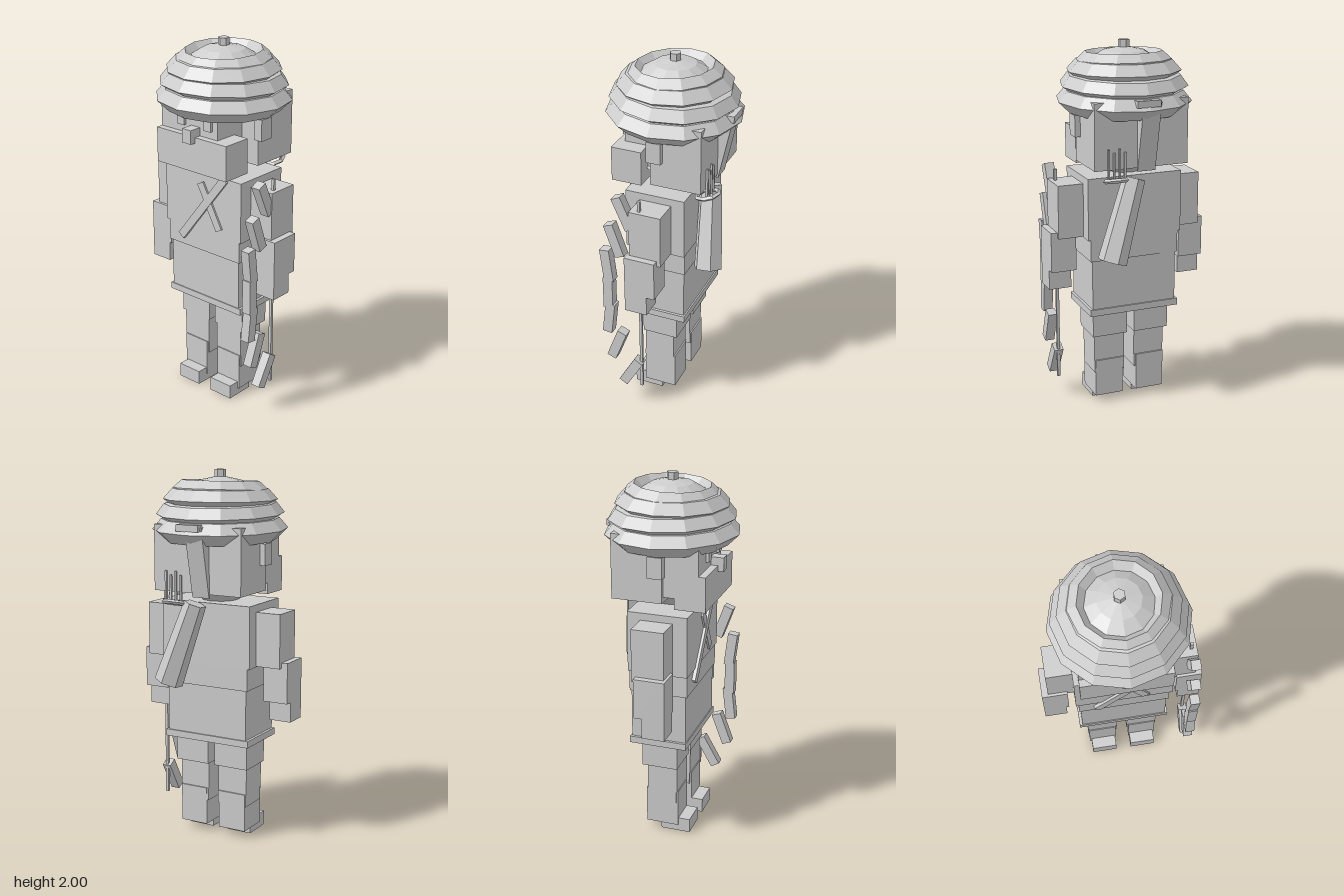
import * as THREE from 'three';

export function createModel() {
  const model = new THREE.Group();
  const stone = new THREE.MeshStandardMaterial({ color: 0xcccccc, flatShading: true, side: THREE.DoubleSide });
  stone.name = 'light grey';

  const add = (name, geo, parent = model) => {
    const mesh = new THREE.Mesh(geo, stone);
    mesh.name = name;
    parent.add(mesh);
    return mesh;
  };
  // box given by its limits on each axis
  const box = (name, x0, x1, y0, y1, z0, z1, parent) => {
    const mesh = add(name, new THREE.BoxGeometry(x1 - x0, y1 - y0, z1 - z0), parent);
    mesh.position.set((x0 + x1) / 2, (y0 + y1) / 2, (z0 + z1) / 2);
    return mesh;
  };
  // prism running between two points
  const UP = new THREE.Vector3(0, 1, 0);
  const prism = (name, a, b, rTop, rBottom, sides) => {
    const top = new THREE.Vector3(...a), bottom = new THREE.Vector3(...b);
    const dir = top.clone().sub(bottom);
    const mesh = add(name, new THREE.CylinderGeometry(rTop, rBottom, dir.length(), sides));
    mesh.position.copy(top).add(bottom).multiplyScalar(0.5);
    mesh.quaternion.setFromUnitVectors(UP, dir.normalize());
    return mesh;
  };

  // legs and arms, mirrored
  for (const s of [1, -1]) {
    const side = s > 0 ? 'left' : 'right';
    const limb = (part, x0, x1, ...rest) =>
      box(side + part, Math.min(s * x0, s * x1), Math.max(s * x0, s * x1), ...rest);
    limb('Thigh', 0.02, 0.22, 0.4, 0.56, -0.1, 0.1);
    limb('Knee', 0.03, 0.205, 0.25, 0.4, -0.075, 0.095);
    limb('KneeBand', 0.03, 0.205, 0.18, 0.25, -0.08, 0.09);
    limb('Shin', 0.04, 0.2, 0.04, 0.25, -0.083, 0.1);
    limb('Foot', 0.045, 0.19, 0, 0.08, 0, 0.165);
    limb('UpperArm', 0.25, 0.405, 0.98, 1.27, -0.087, 0.09);
    limb('Forearm', 0.3, 0.44, 0.79, 1.01, -0.065, 0.105);
    limb('Hand', 0.315, 0.44, 0.68, 0.79, -0.02, 0.105);
    limb('Ear', 0.24, 0.29, 1.51, 1.625, -0.04, 0.04);
    limb('Eye', 0.068, 0.115, 1.57, 1.63, 0.21, 0.235);
  }

  // tunic
  box('chest', -0.265, 0.265, 0.975, 1.31, -0.16, 0.17);
  box('waist', -0.25, 0.25, 0.855, 0.975, -0.157, 0.165);
  box('skirt', -0.24, 0.24, 0.56, 0.86, -0.15, 0.155);
  box('hem', -0.255, 0.255, 0.545, 0.582, -0.158, 0.16);

  // crossed chest straps
  const strap = (name, x0, y0, x1, y1, z) => {
    const mesh = add(name, new THREE.BoxGeometry(0.045, Math.hypot(x1 - x0, y1 - y0), 0.02));
    mesh.position.set((x0 + x1) / 2, (y0 + y1) / 2, z);
    mesh.rotation.z = Math.atan2(x0 - x1, y1 - y0);
  };
  strap('longStrap', -0.15, 0.91, 0.16, 1.31, 0.174);
  strap('shortStrap', 0.12, 1.01, -0.01, 1.25, 0.17);

  // head, with a scarf across the mouth
  const neck = add('neck', new THREE.CylinderGeometry(0.2, 0.1, 0.1, 10));
  neck.position.y = 1.36;
  box('backOfHead', -0.26, 0.26, 1.37, 1.72, -0.247, 0.03);
  box('face', -0.24, 0.15, 1.4, 1.72, -0.05, 0.22);
  box('scarf', -0.24, 0.24, 1.34, 1.53, 0.09, 0.258);
  box('nose', -0.03, 0.03, 1.5, 1.575, 0.22, 0.29);

  // hat of slightly tilted rings around a low dome: [radius, height] profiles
  const hat = new THREE.Group();
  hat.name = 'hat';
  model.add(hat);
  const tiers = [
    [0.02, 1.69, [[0.2, 1.63], [0.3, 1.63], [0.362, 1.69], [0.315, 1.745], [0.22, 1.76]]],
    [0.03, 1.77, [[0.24, 1.73], [0.285, 1.735], [0.342, 1.77], [0.3, 1.825], [0.22, 1.84]]],
    [-0.01, 1.85, [[0.2, 1.81], [0.265, 1.815], [0.305, 1.845], [0.255, 1.9], [0.2, 1.91]]],
    [-0.04, 1.91, [[0.19, 1.88], [0.25, 1.885], [0.252, 1.9], [0.205, 1.942], [0.165, 1.9]]],
    [0, 1.93, [[0.18, 1.9], [0.165, 1.91], [0.11, 1.945], [0, 1.968]]],
  ];
  tiers.forEach(([tilt, y, profile], i) => {
    const pts = profile.map(([r, h]) => new THREE.Vector2(r, h - y));
    const tier = add(i < 4 ? 'hatRing' : 'hatDome', new THREE.LatheGeometry(pts, 12), hat);
    tier.position.y = y;
    tier.rotation.x = -tilt;
  });
  add('hatLining', new THREE.CircleGeometry(0.3, 12).rotateX(Math.PI / 2), hat).position.y = 1.645;
  add('hatKnob', new THREE.CylinderGeometry(0.03, 0.03, 0.06, 6), hat).position.y = 1.97;

  // gathered hair below the back of the hat
  box('hairTie', -0.065, 0.065, 1.7, 1.735, -0.345, -0.25);
  const tail = new THREE.Shape();
  tail.moveTo(0.24, 1.35);
  tail.lineTo(0.25, 1.35);
  tail.lineTo(0.33, 1.72);
  tail.lineTo(0.24, 1.74);
  const tailGeo = new THREE.ExtrudeGeometry(tail, { depth: 0.1, bevelEnabled: false });
  tailGeo.rotateY(Math.PI / 2);
  add('hairTail', tailGeo).position.x = -0.075;

  // quiver on the back, with its ring and arrow shafts
  prism('quiver', [0.03, 1.31, -0.215], [0.17, 0.88, -0.26], 0.06, 0.078, 6);
  const ring = add('quiverRing', new THREE.TorusGeometry(0.06, 0.012, 4, 8));
  ring.rotation.x = Math.PI / 2 + 0.25;
  ring.position.set(0.14, 1.31, -0.24);
  for (let i = 0; i < 4; i++) {
    const x = 0.09 + i * 0.03;
    box('arrowShaft', x, x + 0.01, 1.31, 1.46 + 0.02 * (i % 2), -0.258, -0.245);
  }

  // bow of overlapping limbs, held beside the left hand: [z, y, tilt]
  const bow = new THREE.Group();
  bow.name = 'bow';
  model.add(bow);
  const limbs = [
    [0.125, 1.245, 0.42], [0.18, 1.07, 0.34], [0.228, 0.905, 0.12], [0.225, 0.73, 0],
    [0.225, 0.565, -0.12], [0.182, 0.395, -0.36], [0.1, 0.23, -0.52],
  ];
  for (const [z, y, tilt] of limbs) {
    const limb = add('bowLimb', new THREE.BoxGeometry(0.052, 0.19, 0.055), bow);
    limb.position.set(0.375, y, z);
    limb.rotation.x = tilt;
  }
  box('bowString', 0.367, 0.383, 0.14, 1.33, 0.035, 0.05, bow);

  return model;
}
